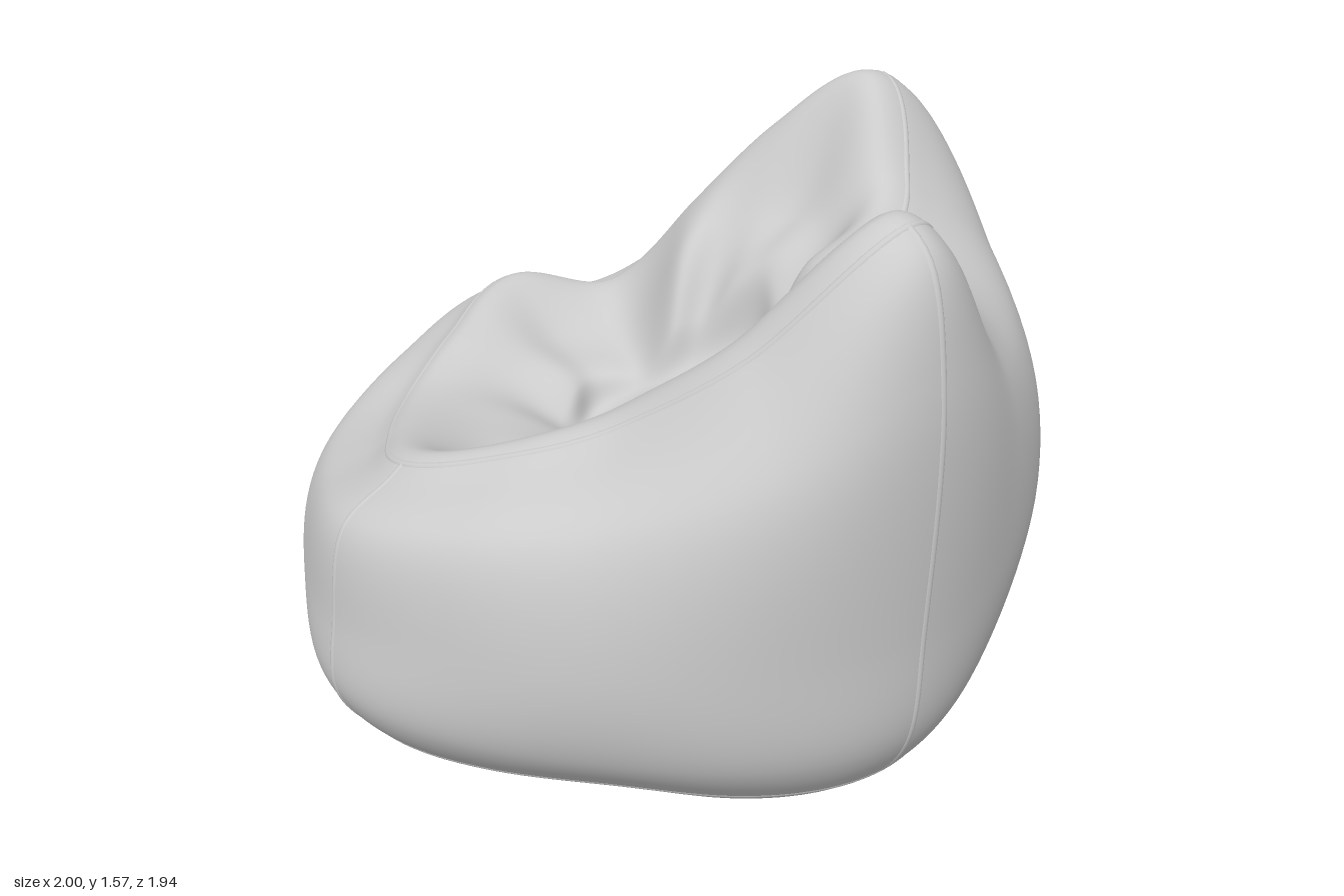
import * as THREE from 'three';

// Shape of the bag at 16 headings, starting at +x and turning towards +z
const BELLY = [1, 1, 1.02, 1.0, .965, .975, 1.01, .985, 1, .99, 1.015, .985, .97, .98, 1.01, .99];
const BELLY_Y = [.68, .62, .58, .56, .53, .5, .47, .44, .43, .45, .5, .58, .66, .7, .7, .7];
const SHOULDER = [.8, .87, 1.02, .9, .8, .8, .8, .75, .72, .74, .76, .74, .7, .74, .88, .82];
const CREST = [.55, .67, .84, .72, .62, .68, .77, .72, .7, .7, .77, .68, .61, .63, .7, .62];
const CREST_Y = [1.28, 1.33, 1.55, 1.25, 1.05, .95, .86, .79, .77, .84, .91, .88, 1.15, 1.4, 1.57, 1.36];
const LAST = 12; // index of the last profile point
const TAU = Math.PI * 2;

// Smooth periodic interpolation of one of the tables above
function sample(table, angle) {
  const n = table.length;
  const f = ((angle / TAU) % 1 + 1) % 1 * n;
  const i = Math.floor(f), t = f - i;
  const [a, b, c, d] = [-1, 0, 1, 2].map((k) => table[(i + k + n) % n]);
  return b + .5 * t * (c - a + t * (2 * a - 5 * b + 4 * c - d + t * (3 * (b - c) + d - a)));
}

// Profile from the centre of the base, over the crest, to the centre of the seat
function profile(angle) {
  const cos = Math.cos(angle), sin = Math.sin(angle), four = Math.cos(4 * angle);
  const b = sample(BELLY, angle), by = sample(BELLY_Y, angle), s = sample(SHOULDER, angle);
  const c = sample(CREST, angle), h = sample(CREST_Y, angle);
  // rounded rectangular edge of the sunken seat, which rises towards +x
  const ex = Math.abs(cos) / .25, ez = Math.abs(sin) / (sin > 0 ? .31 : .21);
  const e = 1 / Math.pow(ex ** 5 + ez ** 5, .2);
  const floor = .76 + .5 * e * cos;
  // the base is fuller towards the low front corner
  const lean = Math.cos(angle + Math.PI / 4);
  const hem = .853 - .038 * four - .02 * lean;
  const bulge = .65 + .15 * four; // sides puff up, corners fold in
  const points = [
    [0, 0], [.45 * b, .004], [(hem - .13) * b, .035 - .015 * cos], [hem * b, .12],
    [(.955 - .022 * four - .033 * lean) * b, .27],
    [b, by], [c + s * (b - c), by + .64 * (h - by)], [c + .55 * s ** 3 * (b - c), h - .055],
    [c - .03, h], [e + .46 * (c - e), floor + bulge * (h - floor)],
    [e + .045, floor + .3 * (h - floor)], [e - .01, floor], [0, .76],
  ];
  return new THREE.CatmullRomCurve3(points.map(([r, y]) => new THREE.Vector3(r, y, 0)));
}

// Point on the bag at a heading and a profile index, with soft folds inside
function surfacePoint(curve, angle, index) {
  const p = curve.getPoint(index / LAST);
  const w = index > 7.7 && index < 11.2 ? Math.sin(Math.PI * (index - 7.7) / 3.5) ** 2 : 0;
  const back = .6 + .4 * Math.cos(angle + 1.4);
  const fold = w * back * (.025 * Math.sin(7 * angle + .6) + .01 * Math.sin(12 * angle + 2));
  const r = p.x - fold * .5;
  return new THREE.Vector3(r * Math.cos(angle), Math.max(0, p.y + fold), r * Math.sin(angle));
}

function bagGeometry(around = 224, along = 132) {
  const positions = [], indices = [];
  for (let i = 0; i < around; i++) {
    const angle = i / around * TAU, curve = profile(angle);
    for (let j = 0; j <= along; j++) {
      positions.push(...surfacePoint(curve, angle, j / along * LAST).toArray());
    }
  }
  for (let i = 0; i < around; i++) {
    for (let j = 0; j < along; j++) {
      const a = i * (along + 1) + j, b = ((i + 1) % around) * (along + 1) + j;
      if (j > 0) indices.push(a, a + 1, b);
      if (j < along - 1) indices.push(b, a + 1, b + 1);
    }
  }
  const geometry = new THREE.BufferGeometry();
  geometry.setAttribute('position', new THREE.Float32BufferAttribute(positions, 3));
  geometry.setIndex(indices);
  geometry.computeVertexNormals();
  return geometry;
}

// Point just below the cloth, along the surface normal, so that a cord there barely shows
function seamPoint(angle, index) {
  const curve = profile(angle);
  const p = surfacePoint(curve, angle, index);
  const up = surfacePoint(curve, angle, index + .03).sub(p);
  const round = surfacePoint(profile(angle + .01), angle + .01, index).sub(p);
  return p.addScaledVector(up.cross(round).normalize(), -.01);
}

export function createModel() {
  const group = new THREE.Group();
  group.name = 'beanBagChair';
  const material = new THREE.MeshStandardMaterial({ color: 0xcccccc, roughness: .8, side: THREE.DoubleSide });

  function add(name, geometry) {
    const mesh = new THREE.Mesh(geometry, material);
    mesh.name = name;
    group.add(mesh);
  }
  function addSeam(name, points, closed) {
    const path = new THREE.CatmullRomCurve3(points, closed);
    add(name, new THREE.TubeGeometry(path, points.length * 2, .013, 12, closed));
  }

  add('bag', bagGeometry());

  // Seams running round the base and the crest
  for (const [name, index] of [['baseSeam', 3], ['crestSeam', 7.5]]) {
    const points = [];
    for (let i = 0; i < 112; i++) points.push(seamPoint(i / 112 * TAU, index));
    addSeam(name, points, true);
  }

  // Seams up the four corners
  for (let k = 1; k < 8; k += 2) {
    const points = [];
    for (let i = 0; i <= 24; i++) points.push(seamPoint(k * Math.PI / 4, 3 + 4.5 * i / 24));
    addSeam('cornerSeam', points, false);
  }
  return group;
}
